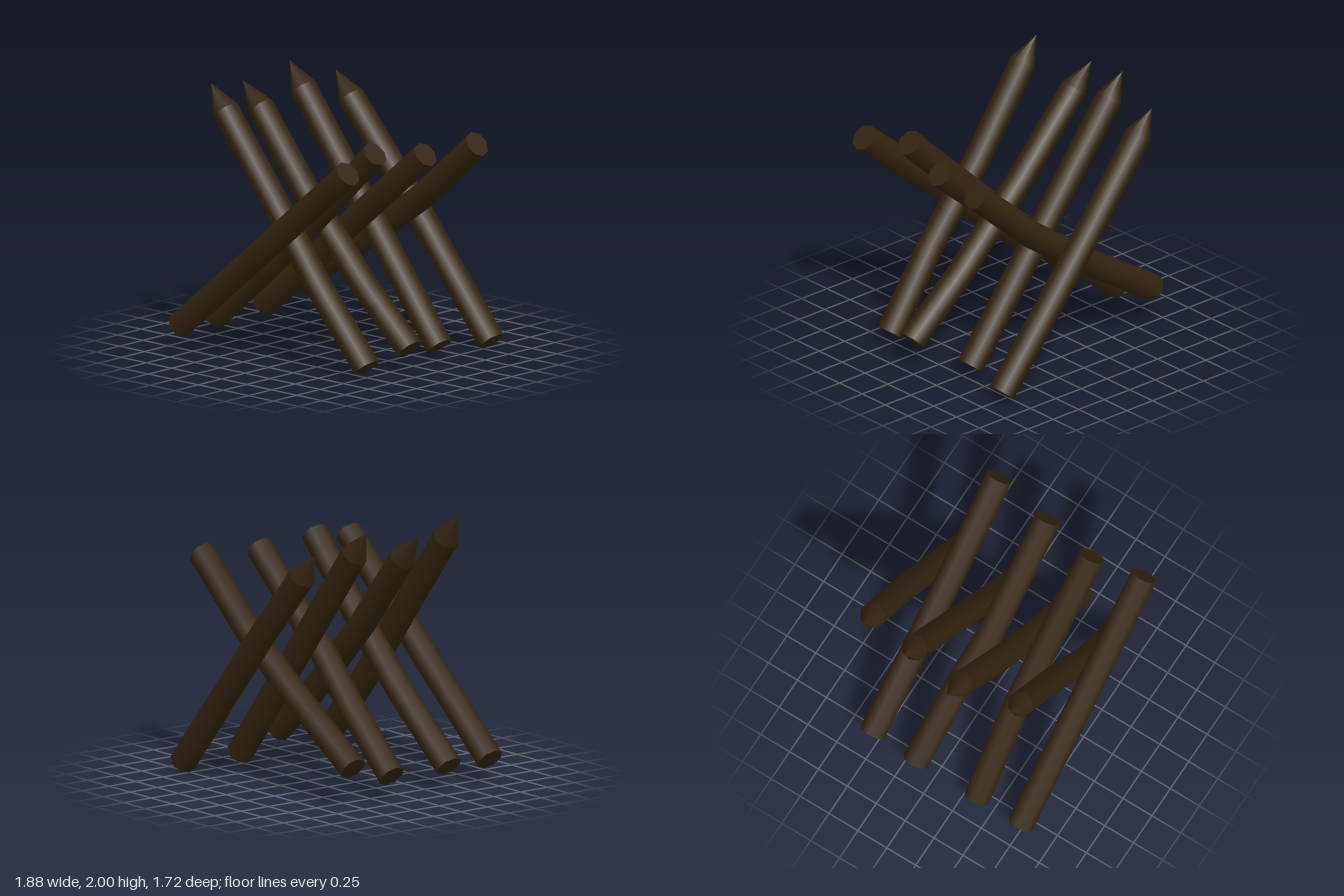
import * as THREE from 'three';

const RADIUS = 0.1;
const SIDES = 8;

// Eight-sided round timber whose rings follow the given centres, from top to bottom
function timber(centres, quat, topRadius, open) {
  const last = centres.length - 1;
  const length = centres[0].distanceTo(centres[last]);
  const geo = new THREE.CylinderGeometry(topRadius, RADIUS, length, SIDES, last, open);
  const pos = geo.attributes.position;
  const normal = geo.attributes.normal;
  const v = new THREE.Vector3();
  for (let i = 0; i < pos.count; i++) {
    const ring = Math.round((0.5 - pos.getY(i) / length) * last);
    v.set(pos.getX(i), 0, pos.getZ(i)).applyQuaternion(quat).add(centres[ring]);
    pos.setXYZ(i, v.x, v.y, v.z);
    v.fromBufferAttribute(normal, i).applyQuaternion(quat);
    normal.setXYZ(i, v.x, v.y, v.z);
  }
  return geo;
}

// Rotation in the x-y plane that lays a timber along its overall line
function leaning(centres) {
  const axis = centres[0].clone().sub(centres[centres.length - 1]).setZ(0).normalize();
  return new THREE.Quaternion().setFromUnitVectors(new THREE.Vector3(0, 1, 0), axis);
}

const toVectors = (points) => points.map((p) => new THREE.Vector3(...p));

export function createModel() {
  const model = new THREE.Group();
  model.name = 'stakeBarricade';
  const wood = new THREE.MeshStandardMaterial({ color: 0x33240f });
  wood.name = 'darkWood';

  const add = (parent, name, geo) => {
    const mesh = new THREE.Mesh(geo, wood);
    mesh.name = name;
    parent.add(mesh);
  };

  // Sharpened stakes: tip, shoulder, two bends, foot
  const stakes = [
    [[-0.73, 1.99, 0.58], [-0.588, 1.808, 0.575], [-0.12, 1.19, 0.55], [0.32, 0.64, 0.56], [0.765, 0.08, 0.515]],
    [[-0.85, 1.91, 0.11], [-0.67, 1.735, 0.11], [-0.18, 1.17, 0.135], [0.4, 0.58, 0.15], [0.868, 0.175, 0.163]],
    [[-0.775, 2.0, -0.31], [-0.637, 1.815, -0.31], [-0.185, 1.24, -0.31], [0.268, 0.665, -0.31], [0.72, 0.09, -0.31]],
    [[-0.695, 1.87, -0.72], [-0.55, 1.69, -0.727], [-0.09, 1.15, -0.755], [0.36, 0.61, -0.762], [0.82, 0.065, -0.762]],
  ];
  stakes.forEach((points, i) => {
    const [tip, ...shaft] = toVectors(points);
    const quat = leaning(shaft);
    const stake = new THREE.Group();
    stake.name = `stake${i + 1}`;
    add(stake, 'stakeShaft', timber(shaft, quat, RADIUS, false));
    add(stake, 'stakePoint', timber([tip, shaft[0]], quat, 0, true));
    model.add(stake);
  });

  // Blunt crossing logs: upper end, two bends, lower end
  const logs = [
    [[0.805, 1.585, 0.76], [0.245, 1.115, 0.76], [-0.315, 0.645, 0.76], [-0.875, 0.175, 0.76]],
    [[0.71, 1.65, 0.37], [0.18, 1.14, 0.35], [-0.33, 0.665, 0.345], [-0.875, 0.175, 0.38]],
    [[0.805, 1.585, -0.07], [0.03, 0.925, -0.075], [-0.32, 0.63, -0.118], [-0.875, 0.175, -0.15]],
    [[0.88, 1.595, -0.543], [0.33, 1.11, -0.54], [-0.215, 0.72, -0.528], [-0.885, 0.285, -0.515]],
  ];
  logs.forEach((points, i) => {
    const centres = toVectors(points);
    add(model, `crossLog${i + 1}`, timber(centres, leaning(centres), RADIUS, false));
  });

  return model;
}
